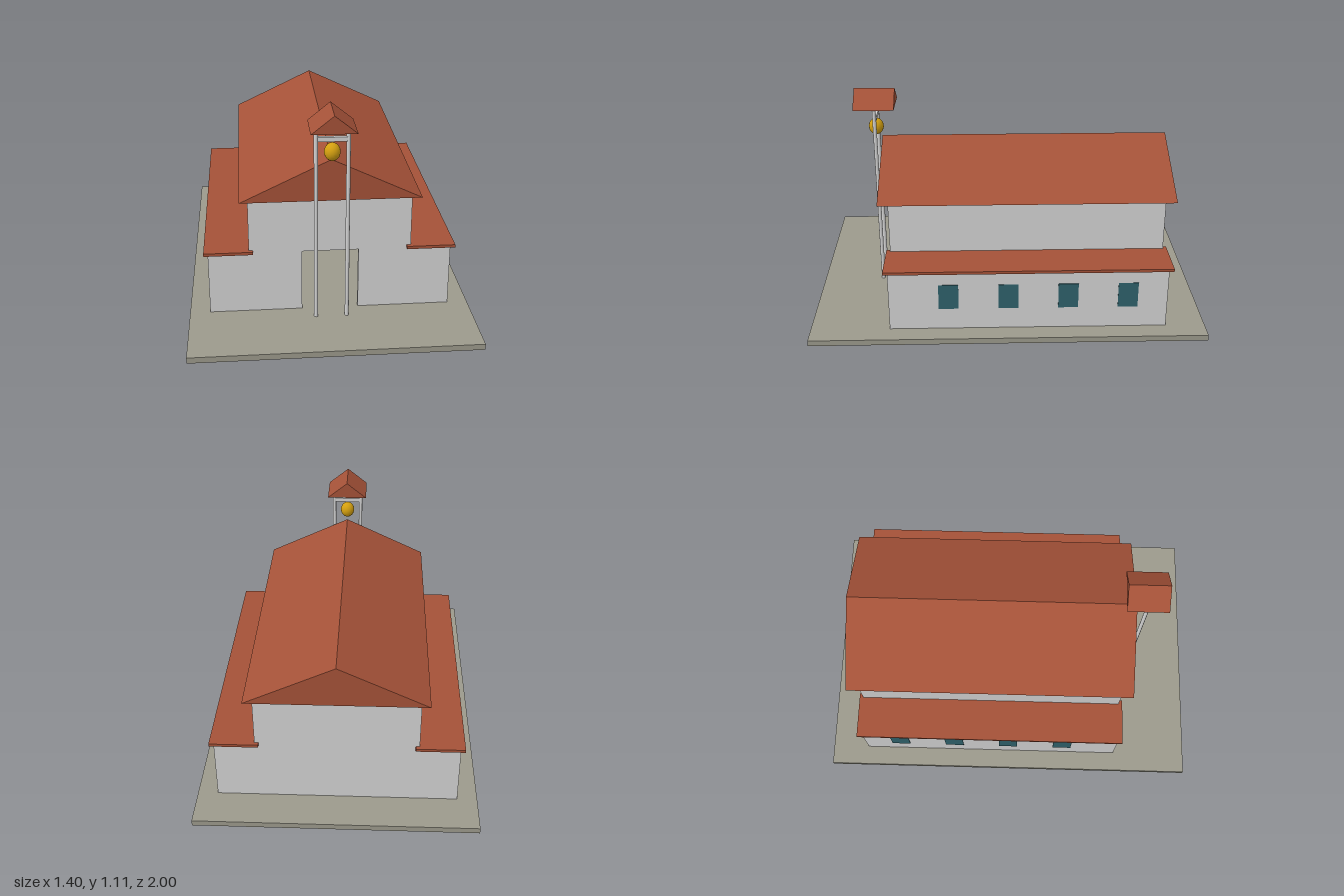
import * as THREE from 'three';

const material = (name, color) => {
  const m = new THREE.MeshStandardMaterial({ color });
  m.name = name;
  return m;
};

export function createModel() {
  const model = new THREE.Group();
  model.name = 'chapel';
  const plaster = material('plaster', 0xd3d3d3);
  const tile = material('roofTile', 0xa55238);
  const stone = material('groundStone', 0x9c9a8c);
  const glass = material('windowGlass', 0x2f626b);
  const brass = material('bellBrass', 0xd4a010);

  const add = (name, geometry, mat, x = 0, y = 0, z = 0, parent = model) => {
    const mesh = new THREE.Mesh(geometry, mat);
    mesh.name = name;
    mesh.position.set(x, y, z);
    parent.add(mesh);
    return mesh;
  };
  // Box given by its extents along each axis
  const box = (name, mat, [x0, x1], [y0, y1], [z0, z1], parent) =>
    add(name, new THREE.BoxGeometry(x1 - x0, y1 - y0, z1 - z0), mat,
      (x0 + x1) / 2, (y0 + y1) / 2, (z0 + z1) / 2, parent);
  // Outline in x and y, extruded along z
  const extrude = (name, mat, points, z0, z1, parent) => {
    const shape = new THREE.Shape(points.map(([x, y]) => new THREE.Vector2(x, y)));
    const geometry = new THREE.ExtrudeGeometry(shape, { depth: z1 - z0, bevelEnabled: false });
    return add(name, geometry, mat, 0, 0, z0, parent);
  };
  const gable = (name, halfWidth, y0, y1, z0, z1, parent) =>
    extrude(name, tile, [[-halfWidth, y0], [halfWidth, y0], [0, y1]], z0, z1, parent);

  box('groundSlab', stone, [-0.7, 0.7], [0, 0.03], [-1, 1]);

  // Hollow nave with an open doorway in the front wall
  const nave = new THREE.Group();
  nave.name = 'nave';
  model.add(nave);
  extrude('frontWall', plaster, [
    [-0.4, 0.03], [-0.14, 0.03], [-0.14, 0.35], [0.14, 0.35],
    [0.14, 0.03], [0.4, 0.03], [0.4, 0.63], [-0.4, 0.63],
  ], 0.58, 0.6, nave);
  box('backWall', plaster, [-0.4, 0.4], [0.03, 0.63], [-0.8, -0.78], nave);
  gable('naveRoof', 0.44, 0.64, 0.85, -0.85, 0.65, nave);

  // Side walls, aisles and windows, mirrored
  for (const side of [1, -1]) {
    const span = (a, b) => (side > 0 ? [a, b] : [-b, -a]);
    const label = side > 0 ? 'left' : 'right';
    box(label + 'NaveWall', plaster, span(0.38, 0.4), [0.03, 0.63], [-0.78, 0.58], nave);
    const aisle = new THREE.Group();
    aisle.name = label + 'Aisle';
    model.add(aisle);
    box('aisleWalls', plaster, span(0.4, 0.6), [0.03, 0.35], [-0.8, 0.6], aisle);
    box('aisleRoof', tile, span(0.38, 0.62), [0.35, 0.365], [-0.82, 0.62], aisle);
    for (const z of [0.3, 0, -0.3, -0.6]) {
      box('window', glass, span(0.598, 0.603), [0.145, 0.28], [z - 0.05, z + 0.05], aisle);
    }
  }

  // Free-standing belfry before the door
  const belfry = new THREE.Group();
  belfry.name = 'belfry';
  model.add(belfry);
  for (const x of [-0.076, 0.076]) {
    add('post', new THREE.CylinderGeometry(0.01, 0.01, 0.995, 12), plaster, x, 0.5275, 0.68, belfry);
  }
  box('crossbar', plaster, [-0.07, 0.07], [0.953, 0.975], [0.67, 0.69], belfry);
  add('bell', new THREE.SphereGeometry(0.039, 16, 12), brass, 0, 0.901, 0.68, belfry).scale.y = 1.13;
  gable('belfryRoof', 0.108, 1.023, 1.11, 0.575, 0.785, belfry);

  return model;
}
